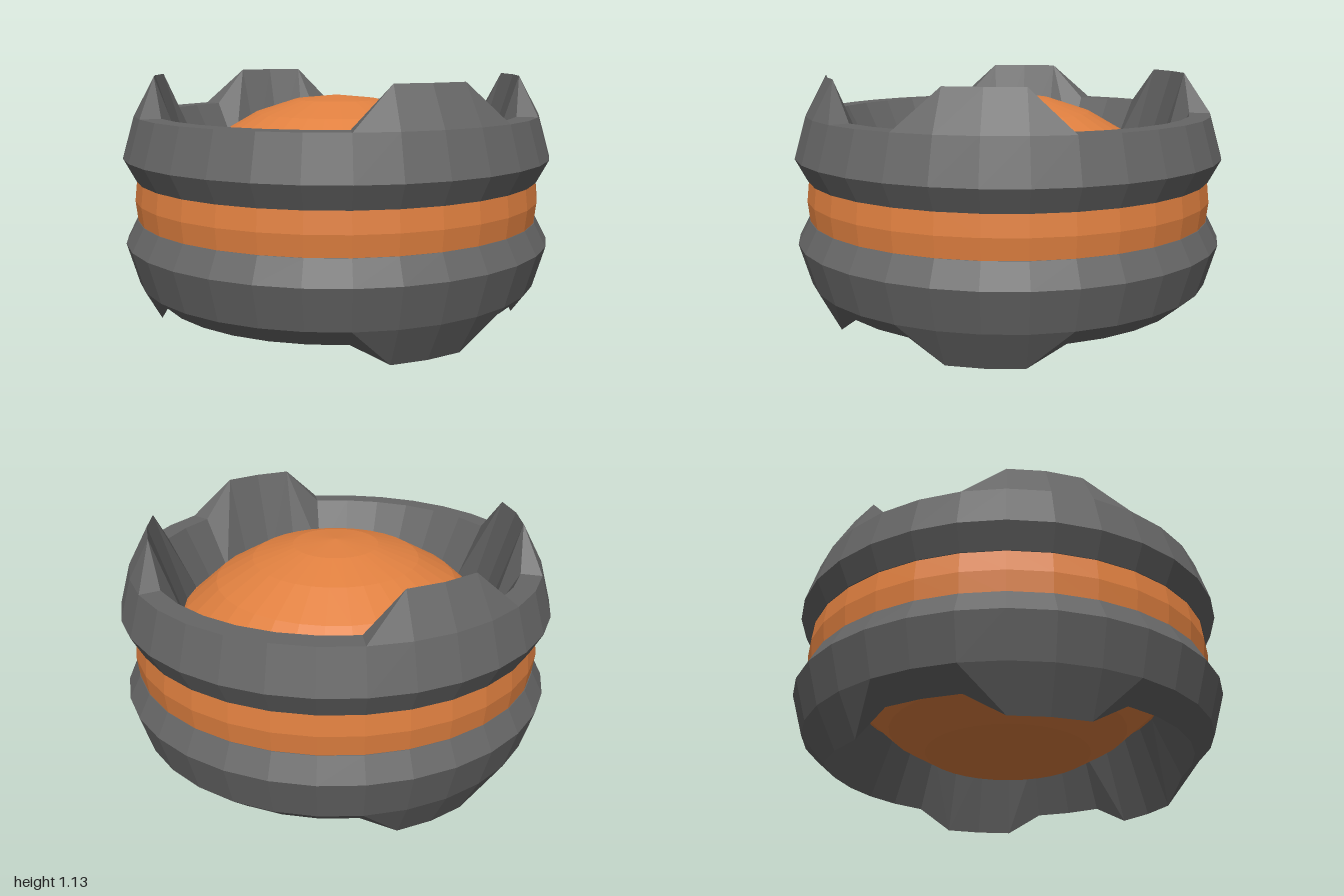
import * as THREE from 'three';

const SEG = 32;
const MID = 0.567;

// Four teeth, each covering three neighbouring spokes, mirrored in x and z
function isTooth(i) {
  const k = Math.min(i % 16, 16 - (i % 16));
  return k >= 2 && k <= 4;
}

// Sweep a profile (a function of the spoke number) around the y axis
function shellGeometry(profile) {
  const rings = [];
  for (let i = 0; i < SEG; i++) {
    const t = (i / SEG) * Math.PI * 2;
    rings.push(profile(isTooth(i)).map(([r, y]) => [r * Math.cos(t), y, r * Math.sin(t)]));
  }
  const pos = [];
  for (let i = 0; i < SEG; i++) {
    const p = rings[i], q = rings[(i + 1) % SEG];
    for (let j = 0; j < p.length - 1; j++) {
      const a = p[j], b = q[j], c = q[j + 1], d = p[j + 1];
      // the diagonal always meets the tip of a tooth
      const ac = Math.abs(a[1] + c[1] - 2 * MID);
      const bd = Math.abs(b[1] + d[1] - 2 * MID);
      const tris = ac >= bd - 1e-6 ? [a, b, c, a, c, d] : [a, b, d, b, c, d];
      tris.forEach((v) => pos.push(...v));
    }
  }
  const g = new THREE.BufferGeometry();
  g.setAttribute('position', new THREE.Float32BufferAttribute(pos, 3));
  g.computeVertexNormals();
  return g;
}

export function createModel() {
  const group = new THREE.Group();
  const grey = new THREE.MeshStandardMaterial({ color: 0x666666, flatShading: true, side: THREE.DoubleSide });
  const orange = new THREE.MeshStandardMaterial({ color: 0xe08040, flatShading: true, side: THREE.DoubleSide });
  const add = (name, geometry, material) => {
    const mesh = new THREE.Mesh(geometry, material);
    mesh.name = name;
    group.add(mesh);
  };

  // Upper shell: inner wall, rim with teeth, bulging outside
  add('upperShell', shellGeometry((tooth) => [
    [0.72, 0.71], [0.85, tooth ? 1.13 : 0.955], [0.945, 0.955], [1, 0.765], [0.945, 0.66], [0.9, 0.66],
  ]), grey);

  // Lower shell: the same with its rim sloping down
  add('lowerShell', shellGeometry((tooth) => [
    [0.9, 0.475], [0.945, 0.475], [1, 0.37], [0.945, 0.18], [0.85, tooth ? 0 : 0.095], [0.72, 0.385],
  ]), grey);

  // Core: domes above and below, a small dimple underneath, a waist band
  const cap = (deg, centre, dir) => {
    const t = THREE.MathUtils.degToRad(deg);
    return new THREE.Vector2(0.95 * Math.sin(t), centre + dir * 0.95 * Math.cos(t));
  };
  const core = [new THREE.Vector2(0, 0.12)];
  for (const deg of [12, 24, 36, 48, 52]) core.push(cap(deg, 1.02, -1));
  core.push(
    new THREE.Vector2(0.94, 0.46),
    new THREE.Vector2(0.952, MID),
    new THREE.Vector2(0.94, 0.675),
  );
  for (const deg of [52, 48, 36, 24, 12, 0]) core.push(cap(deg, 0.087, 1));
  add('core', new THREE.LatheGeometry(core, SEG), orange);

  return group;
}
